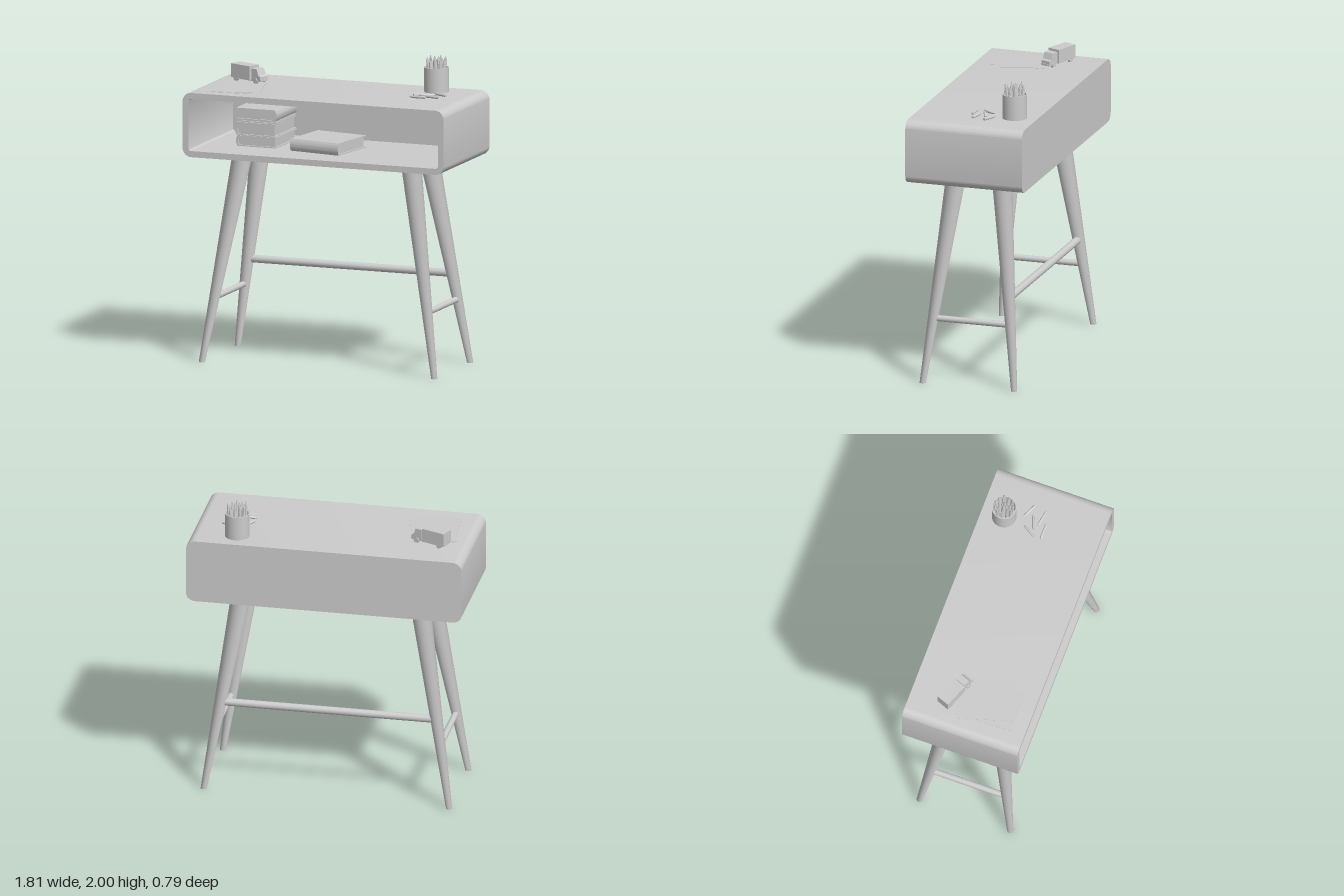
import * as THREE from 'three';
import { toCreasedNormals } from 'three/addons/utils/BufferGeometryUtils.js';

const TOP = 1.77, FLOOR = 1.39;
const material = new THREE.MeshStandardMaterial({ color: 0xcccccc });
const doubleSided = new THREE.MeshStandardMaterial({ color: 0xcccccc, side: THREE.DoubleSide });

function add(parent, name, geometry, x = 0, y = 0, z = 0, mat = material) {
  const mesh = new THREE.Mesh(geometry, mat);
  mesh.name = name;
  mesh.position.set(x, y, z);
  parent.add(mesh);
  return mesh;
}

function group(parent, name, x = 0, y = 0, z = 0, turn = 0) {
  const g = new THREE.Group();
  g.name = name;
  g.position.set(x, y, z);
  g.rotation.y = turn;
  parent.add(g);
  return g;
}

const box = (w, h, d) => new THREE.BoxGeometry(w, h, d);

function roundedRect(path, w, h, r) {
  const x = w / 2, y = h / 2;
  path.absarc(x - r, y - r, r, 0, Math.PI / 2);
  path.absarc(-x + r, y - r, r, Math.PI / 2, Math.PI);
  path.absarc(-x + r, -y + r, r, Math.PI, Math.PI * 1.5);
  path.absarc(x - r, -y + r, r, Math.PI * 1.5, Math.PI * 2);
  path.closePath();
  return path;
}

// Extrusion centred on z, with smooth curves and sharp edges
function extrude(shape, depth) {
  const g = new THREE.ExtrudeGeometry(shape, { depth, bevelEnabled: false, curveSegments: 10 });
  g.translate(0, 0, -depth / 2);
  return toCreasedNormals(g, 0.6);
}

// Straight round bar between two points
function rod(parent, name, a, b, r) {
  const from = new THREE.Vector3(...a), dir = new THREE.Vector3(...b).sub(from);
  const mesh = add(parent, name, new THREE.CylinderGeometry(r, r, dir.length(), 20));
  mesh.position.copy(from).addScaledVector(dir, 0.5);
  mesh.quaternion.setFromUnitVectors(new THREE.Vector3(0, 1, 0), dir.normalize());
}

// Pencil or crayon with a pointed end at b
function pencil(parent, name, a, b, r, tip, sides) {
  const from = new THREE.Vector3(...a), dir = new THREE.Vector3(...b).sub(from);
  const len = dir.length();
  const profile = [[0, 0], [r, 0], [r, len - tip], [r * 0.2, len], [0, len]];
  const g = new THREE.LatheGeometry(profile.map(p => new THREE.Vector2(...p)), sides);
  const mesh = add(parent, name, toCreasedNormals(g, 0.5), ...a);
  mesh.quaternion.setFromUnitVectors(new THREE.Vector3(0, 1, 0), dir.normalize());
}

// Lying book: rounded spine on local -x, page block inset on the other sides
function book(parent, name, w, h, d, x, y, z, turn) {
  const g = group(parent, name, x, y, z, turn);
  const t = 0.007, bulge = 0.012, s = new THREE.Shape();
  s.moveTo(w / 2, 0);
  s.lineTo(w / 2, t);
  s.lineTo(-w / 2 + 0.022, t);
  s.quadraticCurveTo(-w / 2 + 0.022 - bulge, h / 2, -w / 2 + 0.022, h - t);
  s.lineTo(w / 2, h - t);
  s.lineTo(w / 2, h);
  s.lineTo(-w / 2 + bulge, h);
  s.quadraticCurveTo(-w / 2 - bulge, h / 2, -w / 2 + bulge, 0);
  s.closePath();
  add(g, 'bookCover', extrude(s, d));
  add(g, 'pages', box(w - 0.03, h - 2 * t, d - 0.024), 0.003, h / 2, 0);
}

function buildCabinet(parent) {
  const g = group(parent, 'cabinet', 0, 1.56, 0);
  const s = roundedRect(new THREE.Shape(), 1.81, 0.42, 0.06);
  s.holes.push(roundedRect(new THREE.Path(), 1.73, 0.34, 0.02));
  add(g, 'cabinetShell', extrude(s, 0.79));
  add(g, 'backPanel', box(1.74, 0.35, 0.02), 0, 0, -0.385);
}

function buildLegs(parent) {
  const g = group(parent, 'legs');
  const legX = y => 0.805 - 0.22 * y / 1.35, legZ = y => 0.31 - 0.155 * y / 1.35;
  for (const sx of [1, -1]) {
    for (const sz of [1, -1]) {
      // Tapered leg leaning inward, with both ends kept level
      const geo = new THREE.CylinderGeometry(0.066, 0.02, 1.352, 32);
      geo.translate(0, 0.676, 0);
      const p = geo.attributes.position;
      for (let i = 0; i < p.count; i++) {
        const y = p.getY(i);
        p.setX(i, p.getX(i) + sx * legX(y));
        p.setZ(i, p.getZ(i) + sz * legZ(y));
      }
      add(g, sz > 0 ? 'frontLeg' : 'backLeg', geo);
    }
    const x = sx * legX(0.42);
    rod(g, 'sideStretcher', [x, 0.42, -legZ(0.42)], [x, 0.42, legZ(0.42)], 0.02);
  }
  const z = -legZ(0.59);
  rod(g, 'backStretcher', [-legX(0.59), 0.59, z], [legX(0.59), 0.59, z], 0.025);
}

function buildBooks(parent) {
  const g = group(parent, 'books');
  book(g, 'bottomBook', 0.28, 0.07, 0.36, -0.51, FLOOR, -0.07, 0);
  book(g, 'middleBook', 0.28, 0.086, 0.36, -0.515, 1.461, -0.07, 0);
  book(g, 'thinBook', 0.27, 0.016, 0.34, -0.51, 1.547, -0.07, 0);
  book(g, 'topBook', 0.28, 0.075, 0.36, -0.508, 1.564, -0.07, Math.PI);
  book(g, 'lyingBook', 0.355, 0.08, 0.358, -0.048, FLOOR + 0.003, 0.02, Math.PI / 2 - 0.155);
}

function buildTruck(parent) {
  const g = group(parent, 'toyTruck', -0.647, TOP, -0.122, -0.37);
  add(g, 'cargoBox', box(0.165, 0.09, 0.087), -0.042, 0.065, 0);
  add(g, 'chassis', box(0.23, 0.012, 0.06), -0.003, 0.02, 0);
  const cab = new THREE.Shape([[0.047, 0.018], [0.124, 0.018], [0.124, 0.048], [0.108, 0.056],
    [0.093, 0.096], [0.047, 0.096]].map(p => new THREE.Vector2(...p)));
  add(g, 'cab', extrude(cab, 0.07));
  add(g, 'bumper', box(0.008, 0.012, 0.066), 0.126, 0.024, 0);
  for (const x of [-0.085, 0.085]) {
    for (const z of [-0.034, 0.034]) {
      const wheel = new THREE.CylinderGeometry(0.018, 0.018, 0.016, 16);
      add(g, 'wheel', wheel.rotateX(Math.PI / 2), x, 0.018, z);
    }
  }
}

function buildPencilCup(parent) {
  const g = group(parent, 'pencilCup', 0.598, TOP, -0.245);
  const profile = [[0, 0], [0.08, 0], [0.08, 0.16], [0.073, 0.16], [0.073, 0.012], [0, 0.012]];
  const geo = new THREE.LatheGeometry(profile.map(p => new THREE.Vector2(...p)), 40);
  add(g, 'cup', toCreasedNormals(geo, 0.6), 0, 0, 0, doubleSided);
  // Pencils in three rings, leaning slightly outward
  [[4, 0.014], [7, 0.038], [11, 0.061]].forEach(([n, r], ring) => {
    for (let i = 0; i < n; i++) {
      const a = (i / n) * Math.PI * 2 + ring * 0.4;
      const c = Math.cos(a), s = Math.sin(a), top = 0.23 - 0.008 * ((i * 2 + ring) % 4);
      pencil(g, 'pencil', [c * r * 0.75, 0.014, s * r * 0.75], [c * r, top, s * r], 0.009, 0.03, 6);
    }
  });
}

function buildDeskItems(parent) {
  // Loose crayons: start x, z and tip x, z
  const crayons = [[0.53, -0.02, 0.58, -0.105], [0.575, -0.035, 0.67, -0.072],
    [0.728, -0.08, 0.63, -0.126], [0.71, 0.002, 0.605, -0.018], [0.63, 0.031, 0.522, 0.031]];
  const g = group(parent, 'crayons');
  for (const [x0, z0, x1, z1] of crayons) {
    pencil(g, 'crayon', [x0, TOP + 0.009, z0], [x1, TOP + 0.009, z1], 0.009, 0.02, 12);
  }
  // Two overlapping sheets
  const papers = group(parent, 'papers');
  add(papers, 'paperSheet', box(0.28, 0.002, 0.385), -0.62, TOP + 0.003, 0.085).rotation.y = 0.29;
  add(papers, 'paperSheet', box(0.28, 0.002, 0.385), -0.64, TOP + 0.001, 0.11).rotation.y = 0.05;
}

export function createModel() {
  const model = new THREE.Group();
  model.name = 'consoleDesk';
  buildCabinet(model);
  buildLegs(model);
  buildBooks(model);
  buildTruck(model);
  buildPencilCup(model);
  buildDeskItems(model);
  return model;
}
